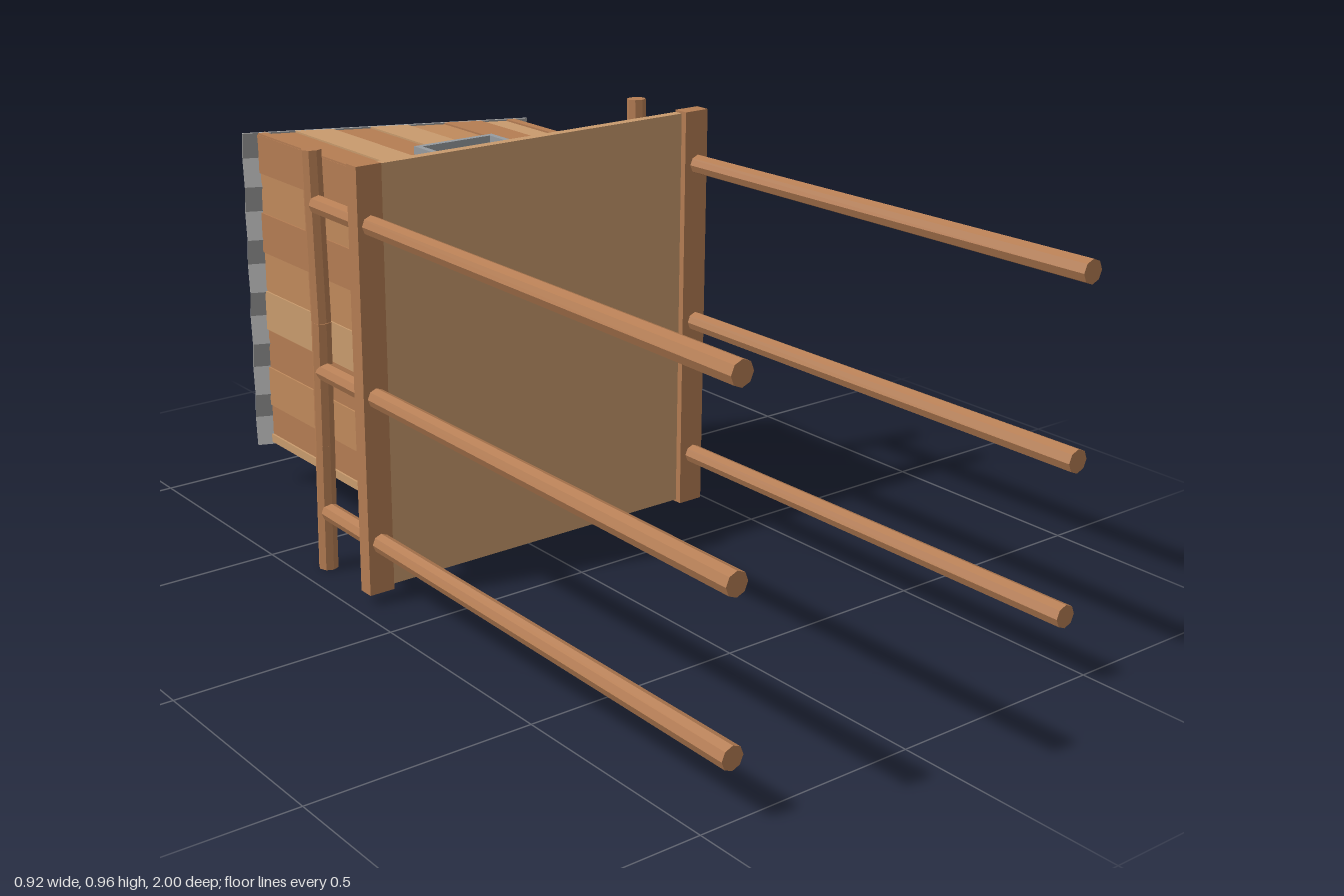
import * as THREE from 'three';

const mat = (name, color) => {
  const m = new THREE.MeshStandardMaterial({ color });
  m.name = name;
  m.flatShading = true;
  return m;
};

export function createModel() {
  const tan = mat('tan wood', 0xc99b6d);
  const mid = mat('mid wood', 0xc08a5c);
  const brown = mat('brown wood', 0xb57d53);
  const roofGrey = mat('roof metal', 0xa6a6a6);
  const frameGrey = mat('frame grey', 0x979ca0);
  const glass = mat('glass', 0x50686f);
  const dark = mat('antenna metal', 0x55575a);

  // The hut is built upright (y up, door facing +z), then laid on its back.
  const hut = new THREE.Group();
  hut.name = 'stiltHut';
  const add = (name, geo, material, parent = hut) => {
    const m = new THREE.Mesh(geo, material);
    m.name = name;
    parent.add(m);
    return m;
  };
  const box = (name, x0, x1, y0, y1, z0, z1, material) => {
    const m = add(name, new THREE.BoxGeometry(x1 - x0, y1 - y0, z1 - z0), material);
    m.position.set((x0 + x1) / 2, (y0 + y1) / 2, (z0 + z1) / 2);
  };
  const rod = (name, a, b, r, material, sides = 8, r2 = r) => {
    const p = new THREE.Vector3(...a), q = new THREE.Vector3(...b);
    const d = q.clone().sub(p);
    const m = add(name, new THREE.CylinderGeometry(r2, r, d.length(), sides), material);
    m.position.copy(p).add(q).multiplyScalar(0.5);
    m.quaternion.setFromUnitVectors(new THREE.Vector3(0, 1, 0), d.normalize());
  };
  const polygon = pts => new THREE.Shape(pts.map(p => new THREE.Vector2(...p)));
  const extrude = (shape, depth) =>
    new THREE.ExtrudeGeometry(shape, { depth, bevelEnabled: false });

  // Platform and its two edge beams
  box('platform', -0.405, 0.4, 0.152, 0.174, 0.03, 0.96, tan);
  box('leftBeam', 0.395, 0.458, 0.137, 0.174, 0.025, 0.965, brown);
  box('rightBeam', -0.463, -0.403, 0.137, 0.174, 0.025, 0.965, brown);

  // Stilts, leaning slightly, and the bent rail poles tied to their tops
  const tops = [0.142, 0.47, 0.84];
  const feet = { 1: [0.152, 0.478, 0.855], '-1': [0.13, 0.46, 0.835] };
  for (const s of [-1, 1]) {
    tops.forEach((z, i) =>
      rod('stilt', [s * 0.43, -1, feet[s][i]], [s * 0.432, 0.35, z], 0.025, brown, 8, 0.021));
    const path = [[0.358, 0.004], [0.352, 0.3], [0.347, 0.58], [0.36, 0.955]];
    for (let i = 0; i < 3; i++) {
      const [ya, za] = path[i], [yb, zb] = path[i + 1];
      const lift = s < 0 ? 0.008 : 0;
      rod('railPole', [s * 0.431, ya + lift, za], [s * 0.431, yb + lift, zb], 0.022, brown);
    }
  }

  // Plank walls: boards in a (u, height) plane, cut around rectangular openings
  const FLOOR = 0.172;
  const roofLine = x => 0.755 - 0.404 * x;
  const plankWall = (name, u0, u1, colours, topAt, openings) => {
    const wall = new THREE.Group();
    wall.name = name;
    hut.add(wall);
    const w = (u1 - u0) / colours.length;
    colours.forEach((material, i) => {
      const a = u0 + i * w, b = a + w;
      const cuts = [a, b];
      openings.forEach(o => cuts.push(...[o[0], o[1]].filter(u => u > a && u < b)));
      cuts.sort((p, q) => p - q);
      for (let k = 0; k + 1 < cuts.length; k++) {
        const p = cuts[k], q = cuts[k + 1], c = (p + q) / 2;
        const hole = openings.find(o => c > o[0] && c < o[1]);
        const board = (y0, ya, yb) => {
          const m = add('plank', extrude(polygon([[p, y0], [q, y0], [q, yb], [p, ya]]), 0.02), material, wall);
          m.position.z = i % 2 ? 0.004 : 0;
        };
        if (hole) {
          if (hole[2] > FLOOR + 0.01) board(FLOOR, hole[2], hole[2]);
          board(hole[3], topAt(p), topAt(q));
        } else board(FLOOR, topAt(p), topAt(q));
      }
    });
    return wall;
  };
  const door = [-0.105, 0.105, FLOOR, 0.48];
  const windows = [[0.22, 0.395, 0.27, 0.53], [0.595, 0.77, 0.27, 0.53]];
  const X = 0.285, Z0 = 0.115, Z1 = 0.88;

  const front = plankWall('doorWall', -X, X, [brown, tan, brown, tan, mid, brown, tan], roofLine, [door]);
  front.position.z = Z1 - 0.024;
  const back = plankWall('plainEndWall', -X, X, [tan, brown, mid, brown, tan, mid, brown], roofLine, []);
  back.position.z = Z0;
  const low = plankWall('windowWall', Z0, Z1, [brown, brown, mid, tan, tan, mid, brown, brown], () => roofLine(X), windows);
  low.rotation.y = -Math.PI / 2;
  low.position.x = X - 0.001;
  const high = plankWall('tallWall', Z0, Z1, [brown, mid, brown, tan, mid, brown, mid, brown], () => roofLine(-X), []);
  high.rotation.y = -Math.PI / 2;
  high.position.x = -X + 0.025;

  // Framed, recessed panes for the door and windows
  const framed = (name, [u0, u1, y0, y1], depth) => {
    const g = new THREE.Group();
    g.name = name;
    const e = 0.014;
    const rect = (d) => [[u0 + d, y0 + d], [u1 - d, y0 + d], [u1 - d, y1 - d], [u0 + d, y1 - d]];
    const shape = polygon(rect(0));
    shape.holes.push(polygon(rect(e)));
    add(name + 'Frame', extrude(shape, depth), frameGrey, g);
    add(name + 'Pane', extrude(polygon(rect(e)), 0.006), glass, g).position.z = 0.004;
    hut.add(g);
    return g;
  };
  framed('door', door, 0.045).position.z = 0.85;
  windows.forEach(o => {
    // Turned to face +x, so its horizontal coordinate runs along -z
    const g = framed('window', [-o[1], -o[0], o[2], o[3]], 0.045);
    g.rotation.y = Math.PI / 2;
    g.position.x = 0.252;
  });

  // Corrugated roof: a zigzag strip extruded down the slope
  const waves = 6, upper = [], lower = [];
  for (let i = 0; i <= waves * 2; i++) {
    const u = 0.11 + (i / (waves * 2)) * 0.77;
    const h = i % 2 ? 0.012 : -0.012;
    upper.push([-u, h + 0.007]);
    lower.push([-u, h]);
  }
  const roof = add('roof', extrude(polygon([...upper, ...lower.reverse()]), 0.676), roofGrey);
  roof.geometry.rotateY(Math.PI / 2);
  roof.rotation.z = -Math.atan(0.415);
  roof.position.set(-0.313, 0.892, 0);

  // Antenna: mast, tilted boom and four cross rods
  rod('antennaMast', [0.18, 0.66, 0.24], [0.18, 0.95, 0.24], 0.005, dark, 6);
  rod('antennaBoom', [0.18, 0.928, 0.055], [0.18, 0.972, 0.43], 0.006, dark, 6);
  for (const z of [0.11, 0.195, 0.28, 0.37]) {
    const y = 0.928 + (z - 0.055) * 0.117;
    rod('antennaRod', [0.07, y + 0.029, z - 0.018], [0.29, y - 0.029, z + 0.018], 0.0035, dark, 5);
  }

  hut.rotation.x = -Math.PI / 2;
  const model = new THREE.Group();
  model.name = 'model';
  model.add(hut);
  return model;
}
